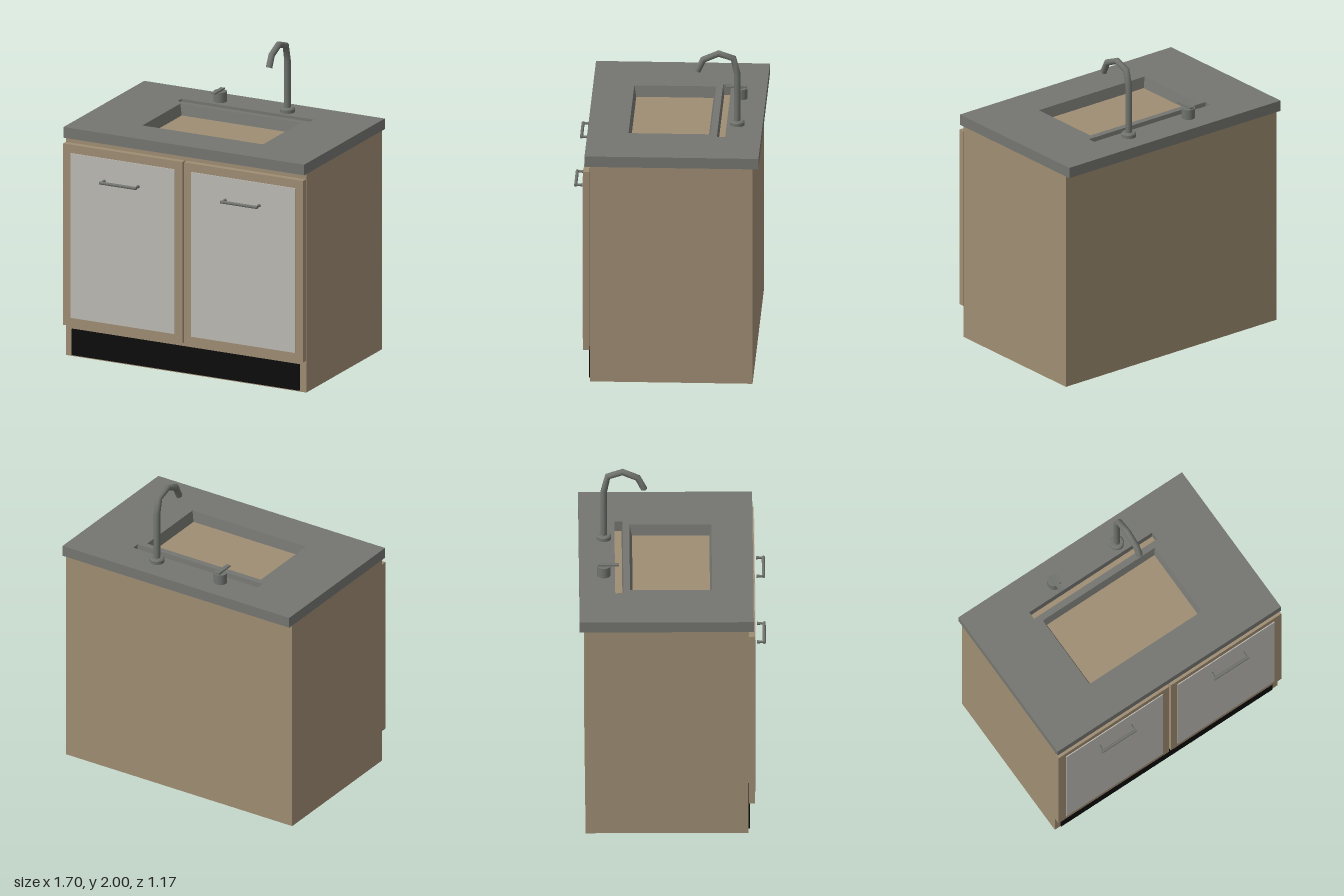
import * as THREE from 'three';

const material = (name, color) => Object.assign(new THREE.MeshStandardMaterial({ color }), { name });

// Bent pipe path: one tube ring per listed point, mitred at each bend
class BentPath extends THREE.Curve {
  constructor(points) { super(); this.points = points; }
  getPointAt(u, target = new THREE.Vector3()) {
    return target.copy(this.points[Math.round(u * (this.points.length - 1))]);
  }
  getTangentAt(u, target = new THREE.Vector3()) {
    const p = this.points, n = p.length - 1, i = Math.round(u * n);
    const dir = (a, b) => p[b].clone().sub(p[a]).normalize();
    target.set(0, 0, 0);
    if (i > 0) target.add(dir(i - 1, i));
    if (i < n) target.add(dir(i, i + 1));
    return target.normalize();
  }
}

// Skin rectangular loops [x0, x1, z0, z1, y] into a closed, flat-faced ring
function rectangularRing(loops) {
  const pos = [];
  const corners = ([x0, x1, z0, z1, y]) => [[x0, y, z1], [x1, y, z1], [x1, y, z0], [x0, y, z0]];
  loops.forEach((loop, i) => {
    const a = corners(loop), b = corners(loops[(i + 1) % loops.length]);
    for (let k = 0; k < 4; k++) {
      const n = (k + 1) % 4;
      pos.push(...a[k], ...a[n], ...b[n], ...a[k], ...b[n], ...b[k]);
    }
  });
  const geo = new THREE.BufferGeometry();
  geo.setAttribute('position', new THREE.Float32BufferAttribute(pos, 3));
  geo.computeVertexNormals();
  return geo;
}

export function createModel() {
  const model = new THREE.Group();
  model.name = 'sinkCabinet';
  const wood = material('wood', 0x9f8d73);
  const stone = material('stone', 0x757671);
  const metal = material('metal', 0x70736e);
  const panelGrey = material('panelGrey', 0xbdbbb5);
  const black = material('black', 0x0c0c0c);

  const add = (parent, name, geo, mat) => {
    const mesh = new THREE.Mesh(geo, mat);
    mesh.name = name;
    parent.add(mesh);
    return mesh;
  };
  // Box given by its limits on each axis
  const box = (parent, name, mat, x0, x1, y0, y1, z0, z1) => {
    const mesh = add(parent, name, new THREE.BoxGeometry(x1 - x0, y1 - y0, z1 - z0), mat);
    mesh.position.set((x0 + x1) / 2, (y0 + y1) / 2, (z0 + z1) / 2);
    return mesh;
  };
  const cylinder = (parent, name, mat, rTop, rBottom, h, x, y, z, sides = 24) => {
    const mesh = add(parent, name, new THREE.CylinderGeometry(rTop, rBottom, h, sides), mat);
    mesh.position.set(x, y, z);
    return mesh;
  };

  // Cabinet body and recessed-looking kick plate
  box(model, 'cabinetBody', wood, -0.848, 0.848, 0, 1.435, -0.548, 0.472);
  box(model, 'kickPlate', black, -0.805, 0.803, 0.008, 0.18, 0.472, 0.48);

  // Doors with inset panels and bar handles
  for (const [side, s, handleX] of [['right', -1, -0.43], ['left', 1, 0.425]]) {
    const door = new THREE.Group();
    door.name = side + 'Door';
    model.add(door);
    const span = (a, b) => (s > 0 ? [a, b] : [-b, -a]);
    box(door, 'doorFrame', wood, ...span(0.006, 0.848), 0.21, 1.4, 0.475, 0.513);
    box(door, 'doorPanel', panelGrey, ...span(0.058, 0.793), 0.265, 1.345, 0.513, 0.519);
    const bar = cylinder(door, 'handleBar', metal, 0.01, 0.01, 0.26, handleX, 1.2, 0.573, 12);
    bar.rotation.z = Math.PI / 2;
    for (const e of [-1, 1]) {
      const post = cylinder(door, 'handlePost', metal, 0.006, 0.011, 0.042,
        handleX + e * 0.12, 1.2, 0.549, 12);
      post.rotation.x = Math.PI / 2;
    }
  }

  // Countertop slabs, leaving a slot behind the sink
  const counter = new THREE.Group();
  counter.name = 'countertop';
  model.add(counter);
  const y0 = 1.435, y1 = 1.505, seam = 0.468;
  box(counter, 'rightSlab', stone, -0.85, -seam, y0, y1, -0.585, 0.505);
  box(counter, 'leftSlab', stone, seam, 0.85, y0, y1, -0.585, 0.505);
  box(counter, 'frontSlab', stone, -seam, seam, y0, y1, 0.287, 0.505);
  box(counter, 'backSlab', stone, -seam, seam, y0, y1, -0.585, -0.36);

  // Sink surround with sloping inner walls
  add(counter, 'sinkSurround', rectangularRing([
    [-seam, seam, -0.315, 0.287, y0],
    [-seam, seam, -0.308, 0.287, y1],
    [-0.428, 0.424, -0.267, 0.247, y1],
    [-0.41, 0.408, -0.25, 0.234, y0],
  ]), stone);

  // Faucet with a faceted swan neck
  const faucet = new THREE.Group();
  faucet.name = 'faucet';
  faucet.position.set(0.245, 0, 0);
  model.add(faucet);
  cylinder(faucet, 'faucetBase', metal, 0.046, 0.046, 0.022, 0, 1.516, -0.427);
  cylinder(faucet, 'faucetCollar', metal, 0.038, 0.046, 0.008, 0, 1.531, -0.427);
  const path = [[1.53, -0.427], [1.845, -0.427], [1.948, -0.403], [1.979, -0.31],
    [1.937, -0.214], [1.862, -0.177]].map(([y, z]) => new THREE.Vector3(0, y, z));
  add(faucet, 'faucetNeck',
    new THREE.TubeGeometry(new BentPath(path), path.length - 1, 0.021, 14, false), metal);
  const tip = add(faucet, 'faucetTip', new THREE.CircleGeometry(0.021, 14), metal);
  tip.position.copy(path[5]);
  tip.lookAt(path[5].clone().multiplyScalar(2).sub(path[4]));

  // Tap control with a flat lever
  const tap = new THREE.Group();
  tap.name = 'tapControl';
  model.add(tap);
  cylinder(tap, 'tapBody', metal, 0.042, 0.042, 0.067, -0.232, 1.538, -0.43);
  cylinder(tap, 'tapStem', metal, 0.013, 0.013, 0.008, -0.232, 1.574, -0.43, 16);
  box(tap, 'tapLever', metal, -0.246, -0.218, 1.575, 1.585, -0.466, -0.336);

  return model;
}
